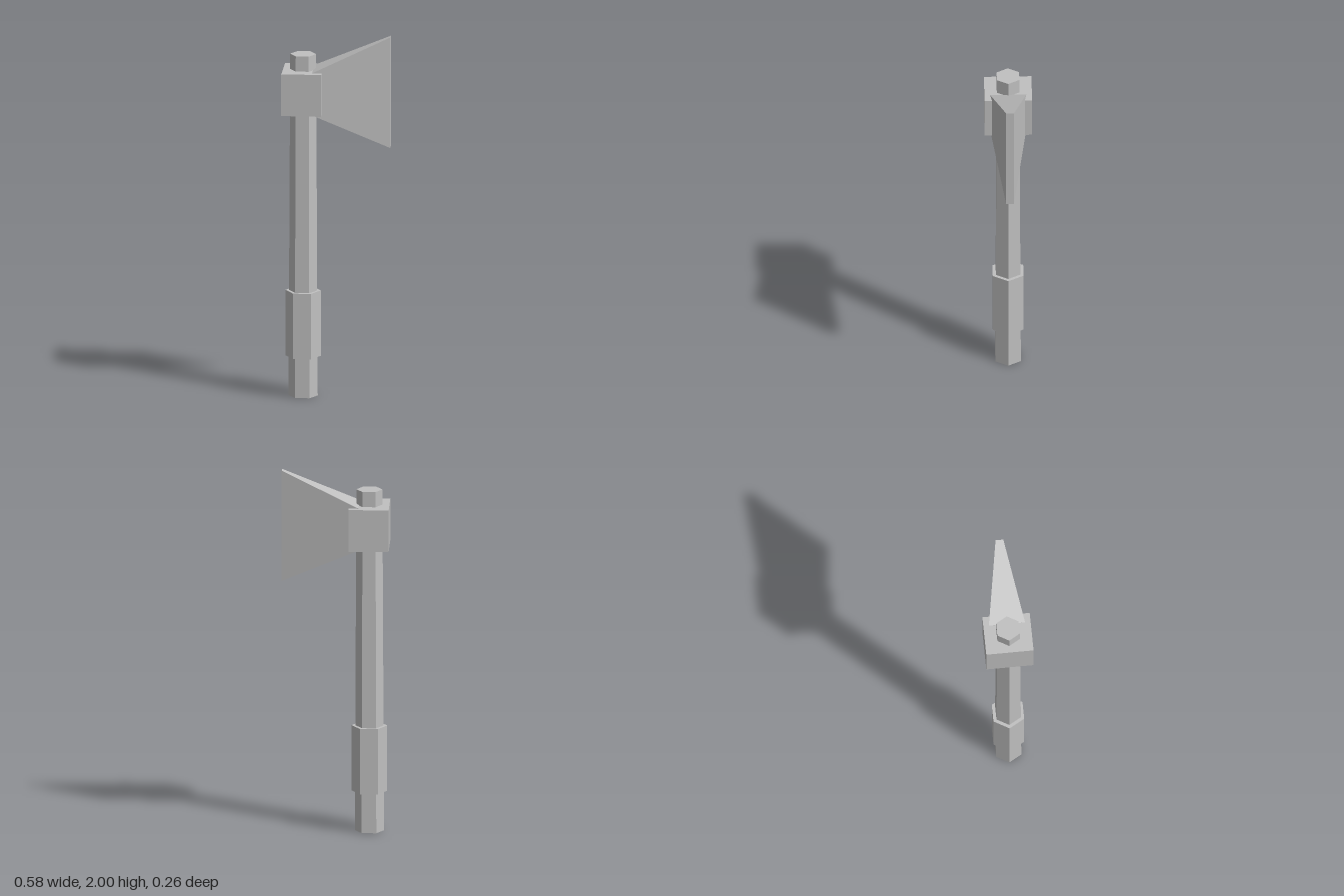
import * as THREE from 'three';

const HANDLE_X = -0.183;

export function createModel() {
  const group = new THREE.Group();
  group.name = 'axe';
  const grey = new THREE.MeshStandardMaterial({ color: 0xc0c0c0 });
  grey.name = 'plain grey';

  const add = (name, geometry, x, y) => {
    const flat = geometry.toNonIndexed();
    flat.computeVertexNormals();
    const mesh = new THREE.Mesh(flat, grey);
    mesh.name = name;
    mesh.position.set(x, y, 0);
    group.add(mesh);
  };

  // Hexagonal rod with corners pointing along x
  const hexRod = (name, topRadius, bottomRadius, y0, y1) => add(
    name,
    new THREE.CylinderGeometry(topRadius, bottomRadius, y1 - y0, 6, 1, false, Math.PI / 6),
    HANDLE_X, (y0 + y1) / 2
  );

  // Tapered handle and thicker grip
  hexRod('handle', 0.07, 0.079, 0, 1.895);
  hexRod('grip', 0.096, 0.096, 0.22, 0.583);

  // Block that holds the blade
  add('headBlock', new THREE.BoxGeometry(0.216, 0.232, 0.256), HANDLE_X, 1.695);

  // Blade: a box flaring in height and thinning towards the cutting edge
  const inner = { x: -0.127, top: 1.812, bottom: 1.578, z: 0.098 };
  const edge = { x: 0.289, top: 2, bottom: 1.387, z: 0.021 };
  const blade = new THREE.BoxGeometry(1, 1, 1);
  const p = blade.attributes.position;
  for (let i = 0; i < p.count; i++) {
    const end = p.getX(i) > 0 ? edge : inner;
    p.setXYZ(i, end.x, p.getY(i) > 0 ? end.top : end.bottom, Math.sign(p.getZ(i)) * end.z);
  }
  add('blade', blade, 0, 0);

  return group;
}
